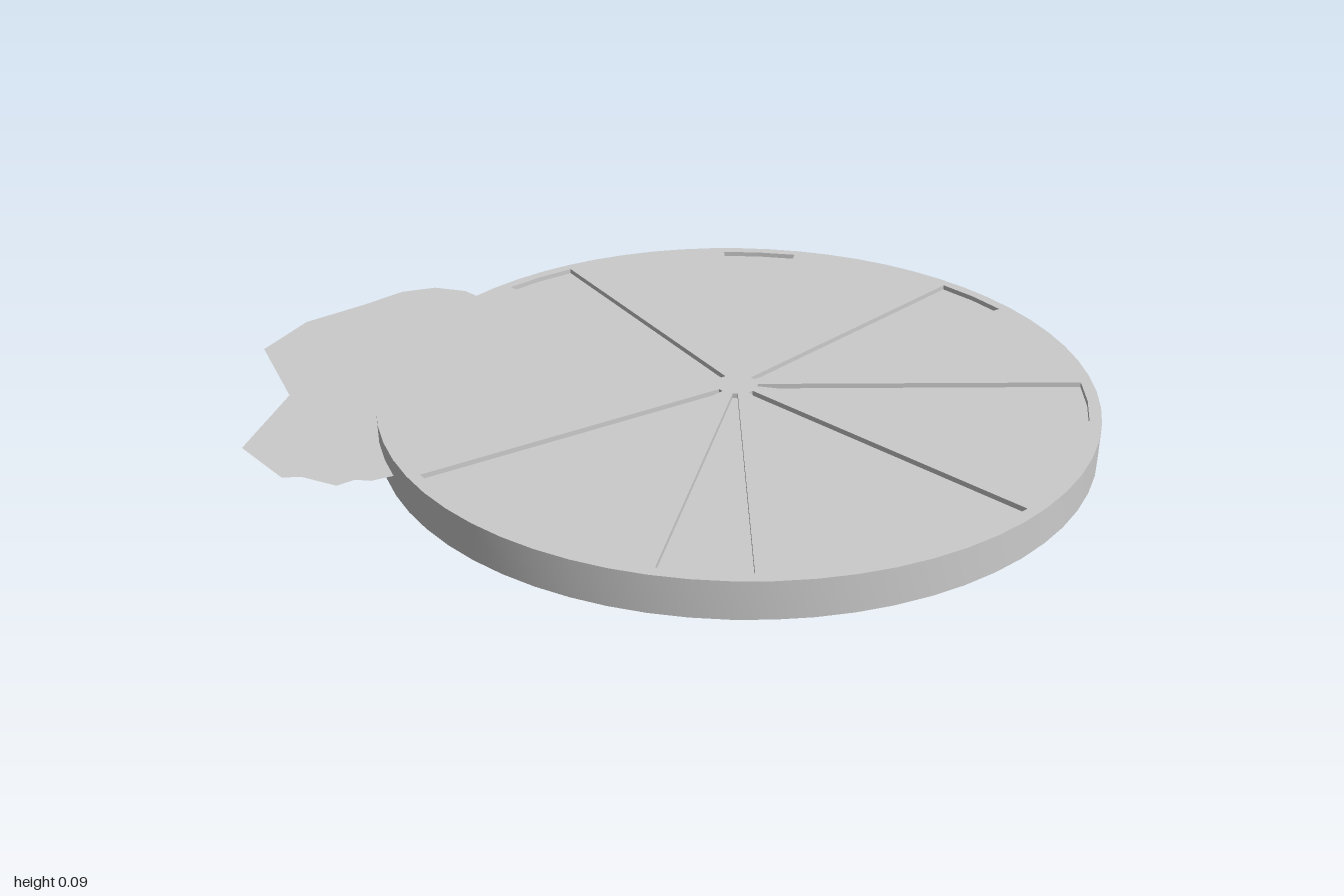
import * as THREE from 'three';
import { toCreasedNormals } from 'three/addons/utils/BufferGeometryUtils.js';

const RADIUS = 0.848, CENTRE_X = 0.152, HEIGHT = 0.09;
const SLOTS = 8, SLOT_START = 30, SLOT_HALF = 6.9, SLOT_INNER = 0.05, SLOT_OUTER = 0.82;
const CLOSED_SLOT = 3;
const rad = THREE.MathUtils.degToRad;

// Narrow wedge outline around a radial direction given in degrees
function wedge(angle) {
  const a = rad(angle - SLOT_HALF), b = rad(angle + SLOT_HALF);
  const at = (r, t) => new THREE.Vector2(r * Math.cos(t), r * Math.sin(t));
  const mid = rad(angle);
  return [at(SLOT_INNER, a), at(SLOT_OUTER, a), at(SLOT_OUTER, mid), at(SLOT_OUTER, b), at(SLOT_INNER, b)];
}

// Flat slab standing between two heights
function slab(shape, bottom, top, segments = 12) {
  const geo = new THREE.ExtrudeGeometry(shape, { depth: top - bottom, bevelEnabled: false, curveSegments: segments });
  geo.rotateX(-Math.PI / 2);
  geo.translate(0, bottom, 0);
  return toCreasedNormals(geo, rad(30));
}

export function createModel() {
  const model = new THREE.Group();
  const grey = new THREE.MeshStandardMaterial({ color: 0xcccccc });
  const thin = new THREE.MeshStandardMaterial({ color: 0xcccccc, side: THREE.DoubleSide });
  const wheel = new THREE.Group();
  wheel.name = 'wheel';
  wheel.position.x = CENTRE_X;
  model.add(wheel);

  // Disc pierced by radial slots
  const outline = new THREE.Shape().absarc(0, 0, RADIUS, 0, Math.PI * 2, false);
  const angles = Array.from({ length: SLOTS }, (_, i) => SLOT_START + (i * 360) / SLOTS);
  for (const angle of angles) outline.holes.push(new THREE.Path(wedge(angle).reverse()));
  const disc = new THREE.Mesh(slab(outline, 0, HEIGHT, 32), grey);
  disc.name = 'disc';
  wheel.add(disc);

  // Thin panels closing the slots near the top; one lies flush
  angles.forEach((angle, i) => {
    const top = i === CLOSED_SLOT ? HEIGHT : HEIGHT - 0.012;
    const panel = new THREE.Mesh(slab(new THREE.Shape(wedge(angle)), 0.07, top), grey);
    panel.name = 'slotPanel' + (i + 1);
    wheel.add(panel);
  });

  // Flat ragged sheet sticking out at mid height
  const edge = [
    [-0.39, 0.66], [-0.46, 0.75], [-0.54, 0.785], [-0.63, 0.77], [-0.73, 0.7], [-0.88, 0.61],
    [-0.98, 0.46], [-0.905, 0.19], [-1, -0.06], [-0.905, -0.21], [-0.86, -0.215], [-0.785, -0.265],
    [-0.745, -0.245], [-0.71, -0.255], [-0.66, -0.24], [-0.45, 0], [-0.4, 0.3],
  ].map(([x, y]) => new THREE.Vector2(x, y));
  const sheet = new THREE.Mesh(new THREE.ShapeGeometry(new THREE.Shape(edge)).rotateX(-Math.PI / 2), thin);
  sheet.name = 'raggedSheet';
  sheet.position.y = 0.046;
  model.add(sheet);

  return model;
}
